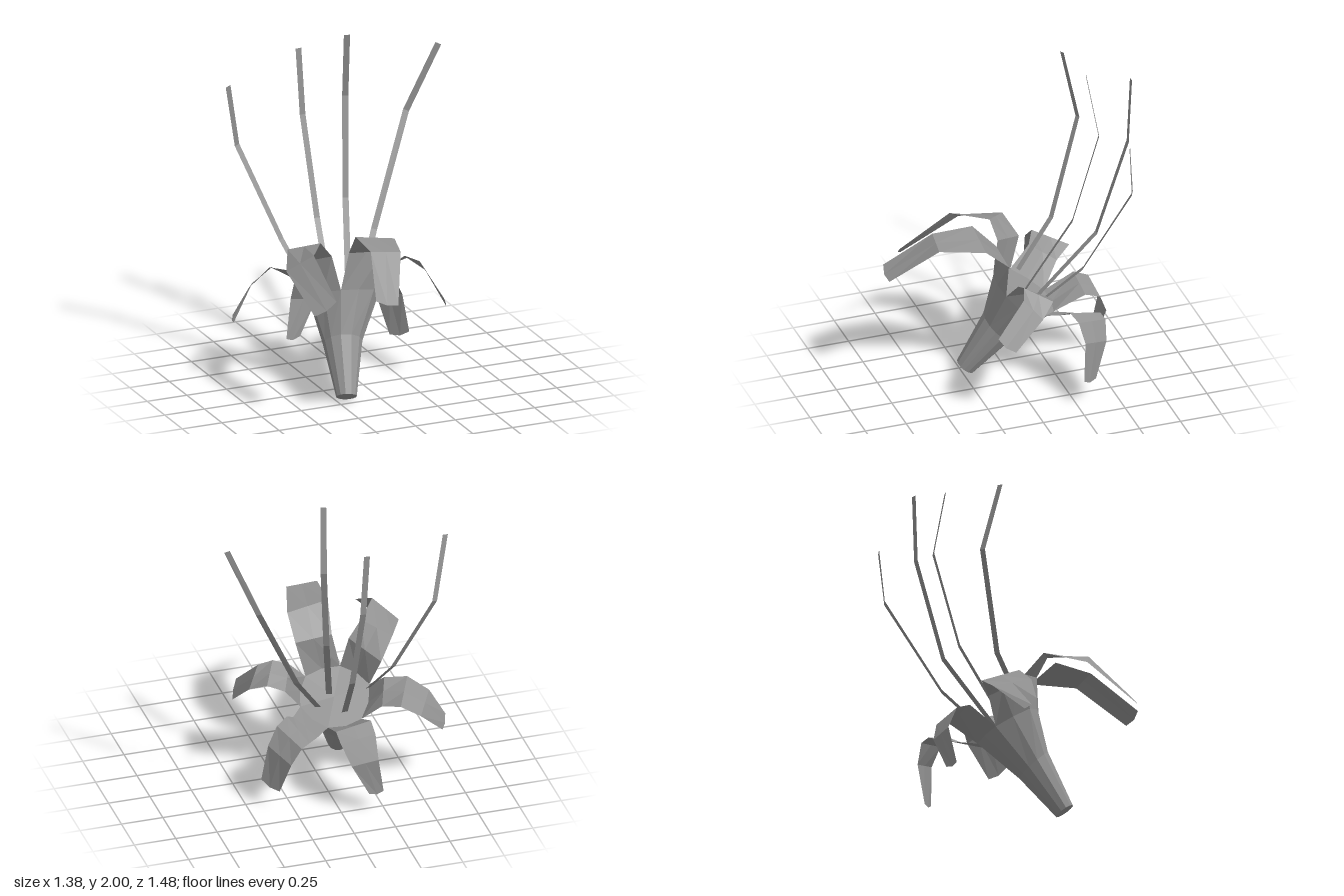
import * as THREE from 'three';

const V = (p) => new THREE.Vector3(...p);
const material = new THREE.MeshStandardMaterial({ color: 0x949494, flatShading: true, side: THREE.DoubleSide });

// Skin a list of equally long rows of points.
function loft(name, rows, closed = false) {
  const n = rows[0].length, index = [];
  for (let i = 0; i < rows.length - 1; i++) {
    for (let j = 0; j < (closed ? n : n - 1); j++) {
      const a = i * n + j, b = i * n + (j + 1) % n;
      index.push(a, b, b + n, a, b + n, a + n);
    }
  }
  const geometry = new THREE.BufferGeometry().setFromPoints(rows.flat());
  geometry.setIndex(index);
  geometry.computeVertexNormals();
  const mesh = new THREE.Mesh(geometry, material);
  mesh.name = name;
  return mesh;
}

// Six rim corners, counterclockwise from above; one petal grows between each pair.
const corners = [
  [-0.17, 0.63, 0.07], [0.04, 0.6, 0.065], [0.11, 0.48, -0.06],
  [0.0, 0.42, -0.24], [-0.2, 0.45, -0.25], [-0.3, 0.57, -0.08],
].map(V);

// Left and right edge points of each petal, from crook to tip.
const petals = {
  frontPetal: [
    [[-0.12, 0.85, 0.07], [0.1, 0.83, 0.07]],
    [[-0.14, 1.0, 0.21], [0.105, 0.955, 0.21]],
    [[-0.15, 0.99, 0.45], [0.03, 0.97, 0.47]],
    [[-0.235, 0.79, 0.72], [-0.1, 0.75, 0.73]],
  ],
  frontLeftPetal: [
    [[0.15, 0.72, 0.03], [0.23, 0.65, -0.15]],
    [[0.25, 0.765, 0.03], [0.33, 0.69, -0.12]],
    [[0.33, 0.73, 0.06], [0.41, 0.63, -0.03]],
    [[0.405, 0.55, 0.24], [0.455, 0.47, 0.15]],
  ],
  backLeftPetal: [
    [[0.2, 0.51, -0.21], [0.1, 0.44, -0.36]],
    [[0.25, 0.545, -0.25], [0.18, 0.47, -0.46]],
    [[0.32, 0.51, -0.28], [0.23, 0.45, -0.475]],
    [[0.38, 0.4, -0.3], [0.29, 0.34, -0.46]],
    [[0.415, 0.17, -0.28], [0.335, 0.13, -0.38]],
  ],
  backPetal: [
    [[0.01, 0.5, -0.43], [-0.2, 0.54, -0.43]],
    [[0.01, 0.47, -0.52], [-0.2, 0.5, -0.52]],
    [[-0.04, 0.34, -0.575], [-0.2, 0.36, -0.58]],
    [[-0.15, 0.13, -0.56], [-0.24, 0.13, -0.55]],
  ],
  backRightPetal: [
    [[-0.29, 0.58, -0.36], [-0.35, 0.68, -0.21]],
    [[-0.37, 0.62, -0.465], [-0.47, 0.7, -0.27]],
    [[-0.49, 0.54, -0.47], [-0.6, 0.59, -0.275]],
    [[-0.655, 0.36, -0.36], [-0.69, 0.43, -0.3]],
  ],
  frontRightPetal: [
    [[-0.35, 0.75, -0.15], [-0.21, 0.83, 0.03]],
    [[-0.44, 0.87, -0.08], [-0.29, 0.93, 0.05]],
    [[-0.55, 0.83, 0.15], [-0.42, 0.94, 0.25]],
    [[-0.53, 0.67, 0.51], [-0.415, 0.76, 0.56]],
  ],
};

// Long flat stamens: centre line and how far the ribbon is turned towards z.
const stamens = [
  { turn: -0.3, path: [[-0.28, 0.57, -0.12], [-0.36, 0.83, -0.35], [-0.54, 1.36, -0.575], [-0.625, 1.755, -0.51]] },
  { turn: 0, path: [[-0.12, 0.47, -0.18], [-0.06, 0.86, -0.52], [-0.065, 1.43, -0.715], [-0.08, 1.83, -0.74]] },
  { turn: 0.35, path: [[-0.06, 0.54, -0.07], [0.04, 1.03, -0.34], [0.1, 1.6, -0.48], [0.08, 2.0, -0.41]] },
  { turn: 0.45, path: [[0.02, 0.49, -0.11], [0.22, 0.81, -0.34], [0.51, 1.43, -0.54], [0.68, 1.84, -0.465]] },
];

export function createModel() {
  const group = new THREE.Group();

  // Rim with twelve points: corners and bulged midpoints
  const center = new THREE.Vector3();
  corners.forEach((c) => center.addScaledVector(c, 1 / 6));
  const rim = corners.flatMap((c, i) => {
    const mid = c.clone().lerp(corners[(i + 1) % 6], 0.5);
    return [c, mid.sub(center).multiplyScalar(1.1).add(center)];
  });

  // Tapered tube: each ring lines up with the rim
  const ring = (c, normal, radius) => rim.map((p) =>
    p.clone().sub(center).projectOnPlane(V(normal)).setLength(radius).add(V(c)));
  const point = (p) => rim.map(() => p.clone());
  const foot = [-0.205, 0.035, 0.228];
  const base = ring(foot, [0.2, 0.82, -0.56], 0.06);
  const waist = ring([-0.15, 0.3, 0.05], [0.2, 0.72, -0.68], 0.115);
  group.add(loft('flowerTube', [base, waist, rim], true));
  group.add(loft('tubeBottom', [point(V(foot)), base], true));
  group.add(loft('throat', [rim, point(center)], true));

  // Curling petals with a slightly pointed tip
  Object.entries(petals).forEach(([name, edges], k) => {
    const rows = [[rim[2 * k], rim[2 * k + 1], rim[(2 * k + 2) % 12]]];
    edges.forEach(([l, r], i) => {
      const left = V(l), right = V(r), mid = left.clone().lerp(right, 0.5);
      if (i === edges.length - 1) {
        mid.addScaledVector(mid.clone().sub(rows[i][1]).normalize(), 0.015);
      }
      rows.push([left, mid, right]);
    });
    group.add(loft(name, rows));
  });

  // Ribbon stamens, each cross-section square to its path
  stamens.forEach(({ turn, path }, k) => {
    const pts = path.map(V);
    const rows = pts.map((p, i) => {
      const along = pts[Math.min(i + 1, 3)].clone().sub(pts[Math.max(i - 1, 0)]).normalize();
      const side = V([1, 0, turn]).projectOnPlane(along).setLength(0.018);
      return [p.clone().sub(side), p.clone().add(side)];
    });
    group.add(loft('stamen' + (k + 1), rows));
  });

  return group;
}
